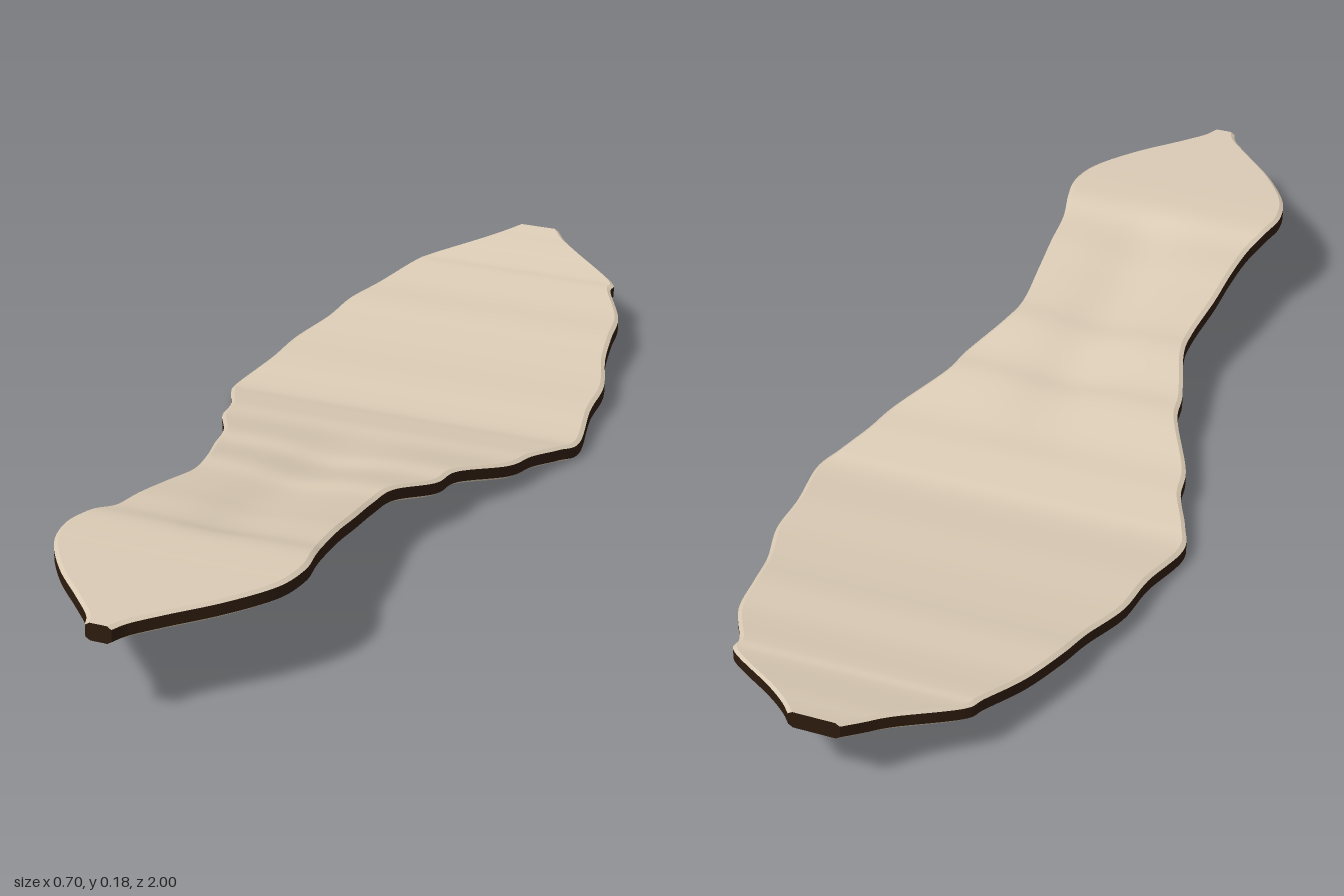
import * as THREE from 'three';

// Stations along the length: [z, left edge x, right edge x, mid-thickness y]
const STATIONS = [
  [-1, -0.055, 0.035, 0.122], [-0.97, -0.08, 0.06, 0.115], [-0.93, -0.115, 0.105, 0.107],
  [-0.85, -0.2, 0.205, 0.087], [-0.81, -0.22, 0.215, 0.083], [-0.72, -0.255, 0.262, 0.067],
  [-0.63, -0.283, 0.277, 0.06], [-0.55, -0.297, 0.292, 0.048], [-0.45, -0.325, 0.323, 0.036],
  [-0.35, -0.333, 0.33, 0.029], [-0.23, -0.355, 0.35, 0.0165], [-0.17, -0.338, 0.33, 0.024],
  [-0.1, -0.305, 0.302, 0.036], [-0.03, -0.29, 0.283, 0.044], [0.08, -0.235, 0.225, 0.07],
  [0.15, -0.22, 0.212, 0.076], [0.25, -0.187, 0.172, 0.1], [0.32, -0.18, 0.163, 0.105],
  [0.42, -0.19, 0.17, 0.122], [0.5, -0.195, 0.176, 0.137], [0.58, -0.202, 0.182, 0.146],
  [0.64, -0.22, 0.195, 0.16], [0.7, -0.23, 0.203, 0.163], [0.77, -0.213, 0.187, 0.163],
  [0.85, -0.16, 0.132, 0.163], [0.92, -0.095, 0.068, 0.163], [0.97, -0.05, 0.025, 0.163],
  [1, -0.036, 0.01, 0.163],
];
const HALF = 0.0155, BEVEL = 0.005, INSET = 0.008;
const ROWS = 216, COLS = 32;

const spline = (f) => new THREE.CatmullRomCurve3(STATIONS.map(f), false, 'catmullrom', 0.5);
const outline = spline(([z, l, r]) => new THREE.Vector3(l, r, z));
const heights = spline(([z, , , y]) => new THREE.Vector3(0, y, z));

// Outline and height at a fraction of the length
function station(t) {
  const o = outline.getPoint(t);
  return { left: o.x, right: o.y, z: THREE.MathUtils.clamp(o.z, -1, 1), y: heights.getPoint(t).y };
}

// Shallow groove down the middle of the arch
function sag(x, z) {
  const s = THREE.MathUtils.smoothstep;
  return 0.014 * s(z, -0.1, 0.15) * (1 - s(z, 0.5, 0.68)) * Math.exp(-((x / 0.075) ** 2));
}

const lerp = THREE.MathUtils.lerp;

// Smooth grid of points; the outward side is (i direction) x (j direction)
function grid(name, color, rows, cols, point) {
  const positions = [], index = [];
  for (let i = 0; i <= rows; i++)
    for (let j = 0; j <= cols; j++) positions.push(...point(i / rows, j / cols));
  for (let i = 0; i < rows; i++)
    for (let j = 0; j < cols; j++) {
      const a = i * (cols + 1) + j, b = a + cols + 1;
      index.push(a, b, b + 1, a, b + 1, a + 1);
    }
  const geometry = new THREE.BufferGeometry();
  geometry.setAttribute('position', new THREE.Float32BufferAttribute(positions, 3));
  geometry.setIndex(index);
  geometry.computeVertexNormals();
  const mesh = new THREE.Mesh(geometry, new THREE.MeshStandardMaterial({ color }));
  mesh.name = name;
  return mesh;
}

export function createModel() {
  const group = new THREE.Group();
  group.name = 'insole';
  const CLOTH = 0xd8c9b3, EDGE = 0x2c1b0e, BASE = 0x555555;

  // Broad faces: cloth on top, grey underneath
  for (const side of [1, -1]) {
    group.add(grid(side > 0 ? 'topCloth' : 'underside', side > 0 ? CLOTH : BASE, ROWS, COLS, (u, v) => {
      const s = station(u);
      const x = lerp(s.left + INSET, s.right - INSET, side > 0 ? v : 1 - v);
      return [x, s.y + side * HALF - sag(x, s.z), s.z];
    }));
  }

  // Edge band with a thin bevel above and below it, on both sides
  for (const side of [1, -1]) {
    const strip = (name, color, x0, y0, x1, y1) => group.add(grid(name, color, ROWS, 1, (u, v) => {
      const s = station(u);
      const k = side > 0 ? v : 1 - v;
      const x = (side > 0 ? s.right : s.left) - side * lerp(x0, x1, k);
      return [x, s.y + lerp(y0, y1, k) - sag(x, s.z), s.z];
    }));
    const label = side > 0 ? 'left' : 'right';
    strip(label + 'TopBevel', CLOTH, INSET, HALF, 0, HALF - BEVEL);
    strip(label + 'EdgeBand', EDGE, 0, HALF - BEVEL, 0, BEVEL - HALF);
    strip(label + 'BottomBevel', CLOTH, 0, BEVEL - HALF, INSET, -HALF);
  }

  // Small flat ends at toe and heel
  for (const end of [1, -1]) {
    const s = station(end > 0 ? 1 : 0);
    group.add(grid(end > 0 ? 'frontEnd' : 'backEnd', EDGE, 3, 3, (u, v) => {
      const across = Math.round((end > 0 ? u : 1 - u) * 3), up = Math.round(v * 3);
      const inset = up === 0 || up === 3 ? INSET : 0;
      const x = [s.left + inset, s.left + INSET, s.right - INSET, s.right - inset][across];
      return [x, s.y + [-HALF, BEVEL - HALF, HALF - BEVEL, HALF][up], s.z];
    }));
  }
  return group;
}
